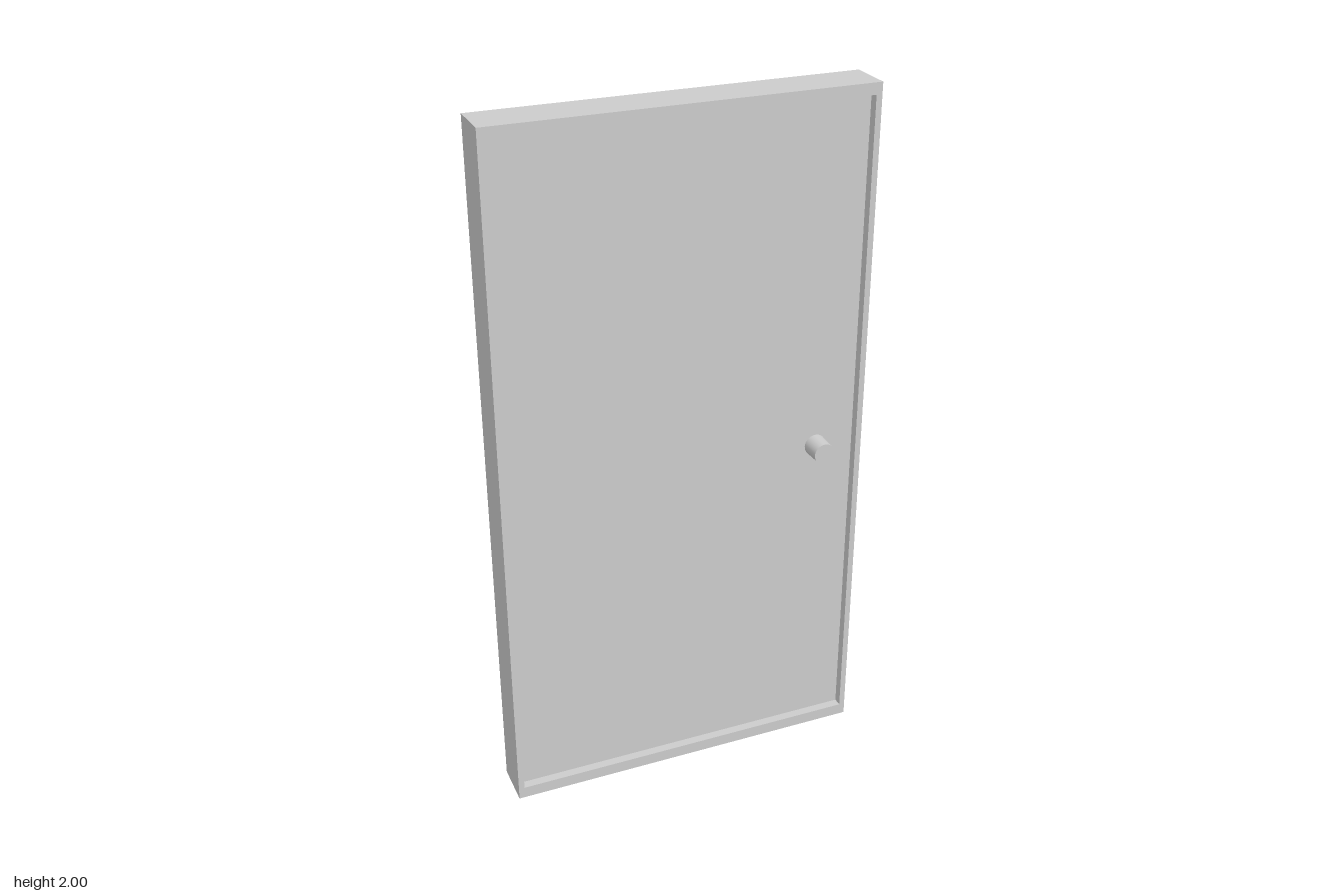
import * as THREE from 'three';

const W = 1.066, H = 2, BACK = -0.082, FRONT = 0.048, PANEL = 0.022;

export function createModel() {
  const group = new THREE.Group();
  const material = new THREE.MeshStandardMaterial({ color: 0xcccccc });
  const add = (name, geometry, x, y, z) => {
    const mesh = new THREE.Mesh(geometry, material);
    mesh.name = name;
    mesh.position.set(x, y, z);
    group.add(mesh);
    return mesh;
  };

  // Door slab, its front face set back inside the frame
  add('doorPanel', new THREE.BoxGeometry(W, H, PANEL - BACK), 0, H / 2, (PANEL + BACK) / 2);

  // Thin raised frame around the front edge
  const rectangle = (target, halfWidth, bottom, top) => {
    target.moveTo(-halfWidth, bottom);
    target.lineTo(halfWidth, bottom);
    target.lineTo(halfWidth, top);
    target.lineTo(-halfWidth, top);
    target.closePath();
    return target;
  };
  const outline = rectangle(new THREE.Shape(), W / 2, 0, H);
  outline.holes.push(rectangle(new THREE.Path(), 0.516, 0.035, 1.968));
  add('doorFrame', new THREE.ExtrudeGeometry(outline, { depth: FRONT - PANEL, bevelEnabled: false }), 0, 0, PANEL);

  // Round knob, slightly narrower at the front
  const knobLength = 0.082 - PANEL;
  const knob = add('doorKnob', new THREE.CylinderGeometry(0.03, 0.032, knobLength, 32), 0.4, 0.971, PANEL + knobLength / 2);
  knob.rotation.x = Math.PI / 2;

  return group;
}
